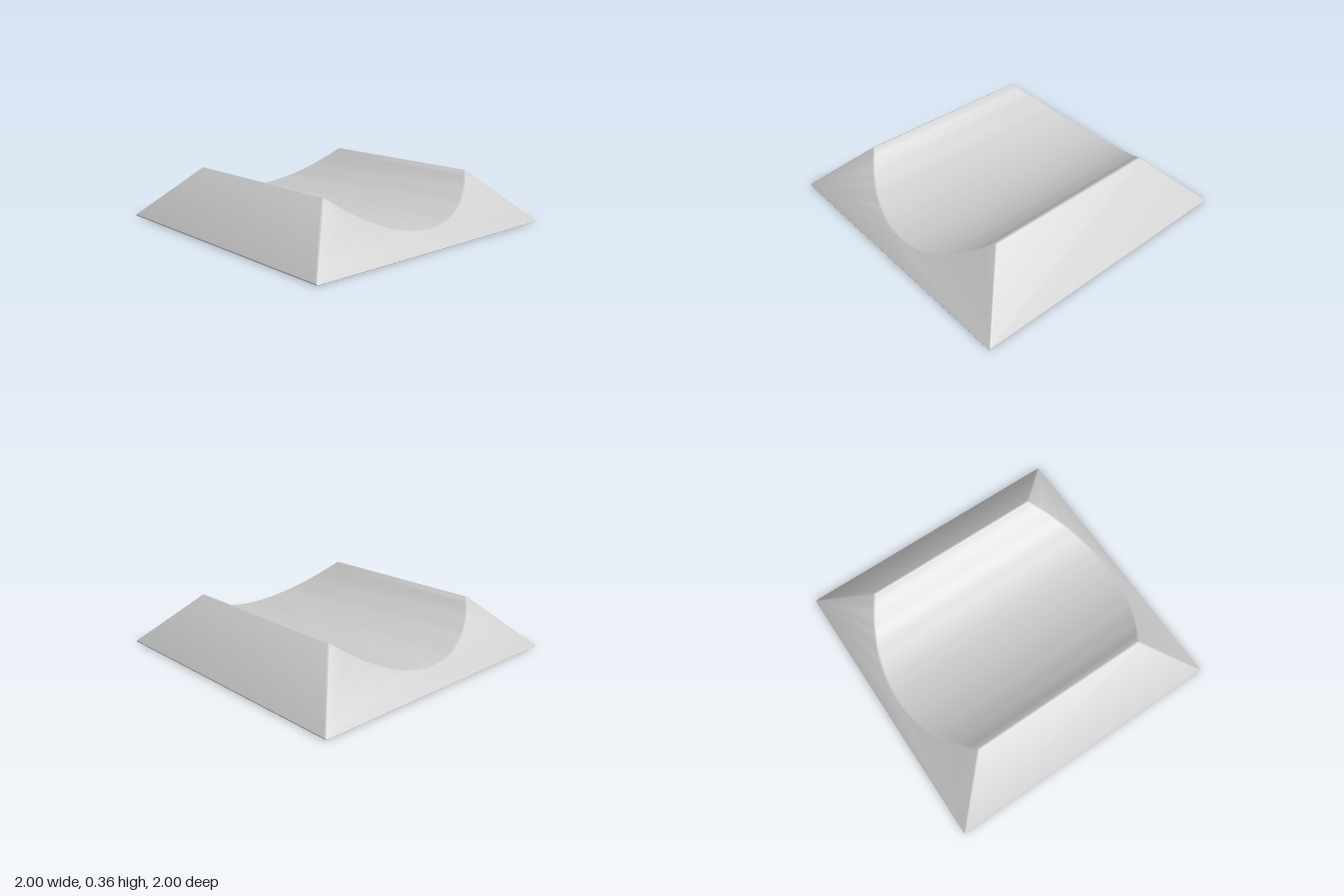
import * as THREE from 'three';
import { toCreasedNormals } from 'three/addons/utils/BufferGeometryUtils.js';

// Points along a circular arc, angles in degrees
function arc(cx, cy, r, from, to, segments) {
  return Array.from({ length: segments + 1 }, (_, i) => {
    const a = THREE.MathUtils.degToRad(from + ((to - from) * i) / segments);
    return new THREE.Vector2(cx + r * Math.cos(a), cy + r * Math.sin(a));
  });
}

export function createModel() {
  const group = new THREE.Group();
  group.name = 'cradleBlock';

  // Right half of the cross-section: base corner, rounded ridge, trough to the centre line
  const half = [
    ...arc(0.991, 0.008, 0.008, -90, 45, 6),
    ...arc(0.645, 0.344, 0.015, 45, 133, 6),
    ...arc(0, 1.053, 0.943, -48, -90, 16),
  ];
  const mirrored = half
    .slice(0, -1)
    .reverse()
    .map((p) => new THREE.Vector2(-p.x, p.y));

  // Extrude along z with softly bevelled ends
  const thickness = 0.012;
  const depth = 2 * (1.005 - thickness);
  const geometry = new THREE.ExtrudeGeometry(new THREE.Shape([...half, ...mirrored]), {
    depth,
    steps: 1,
    bevelEnabled: true,
    bevelThickness: thickness,
    bevelSize: 0.007,
    bevelOffset: -0.007,
    bevelSegments: 4,
  });
  geometry.translate(0, 0, -depth / 2);

  // Lean both ends inwards at 45 degrees
  const pos = geometry.attributes.position;
  for (let i = 0; i < pos.count; i++) {
    const z = pos.getZ(i);
    pos.setZ(i, z - Math.sign(z) * pos.getY(i));
  }

  const block = new THREE.Mesh(
    toCreasedNormals(geometry, 0.6),
    new THREE.MeshStandardMaterial({ color: 0xcccccc })
  );
  block.name = 'slopedBlockWithTrough';
  group.add(block);
  return group;
}
